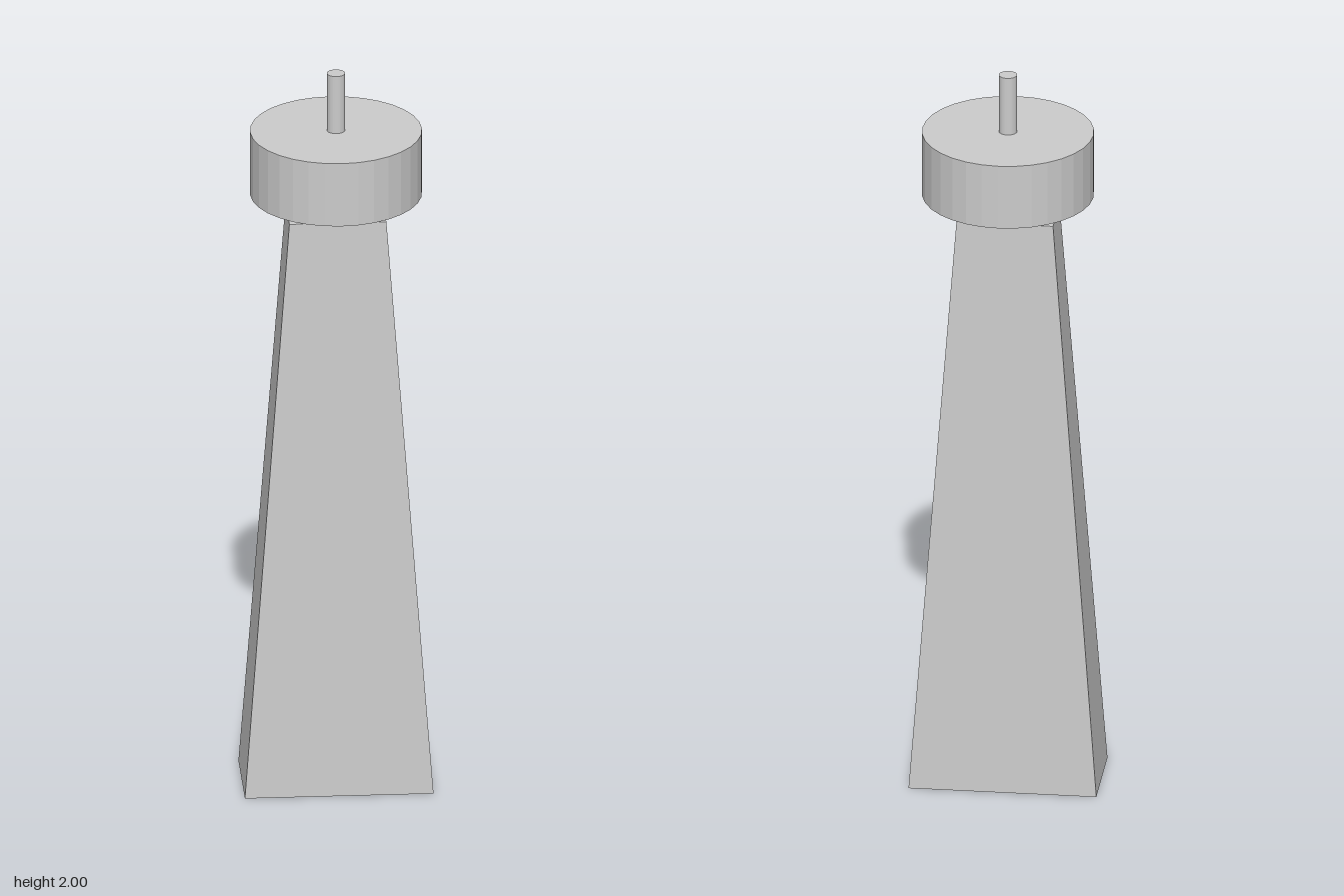
import * as THREE from 'three';

export function createModel() {
  const model = new THREE.Group();
  const material = new THREE.MeshStandardMaterial({ color: 0xcccccc, flatShading: true });

  function add(name, geometry, bottom, top) {
    const mesh = new THREE.Mesh(geometry, material);
    mesh.name = name;
    mesh.position.y = (bottom + top) / 2;
    model.add(mesh);
  }

  function addDisc(name, radius, bottom, top, sides) {
    add(name, new THREE.CylinderGeometry(radius, radius, top - bottom, sides), bottom, top);
  }

  // Tapered pillar: a box whose upper corners are drawn inwards
  const towerHeight = 1.605;
  const tower = new THREE.BoxGeometry(0.494, towerHeight, 0.254);
  const corners = tower.attributes.position;
  for (let i = 0; i < corners.count; i++) {
    if (corners.getY(i) > 0) {
      corners.setX(i, Math.sign(corners.getX(i)) * 0.127);
      corners.setZ(i, Math.sign(corners.getZ(i)) * 0.074);
    }
  }
  tower.computeVertexNormals();
  add('tower', tower, 0, towerHeight);

  // Neck, drum and pin stacked on the pillar
  addDisc('neck', 0.062, towerHeight, 1.66, 32);
  addDisc('drum', 0.225, 1.66, 1.838, 32);
  addDisc('pin', 0.024, 1.838, 2, 32);

  return model;
}
